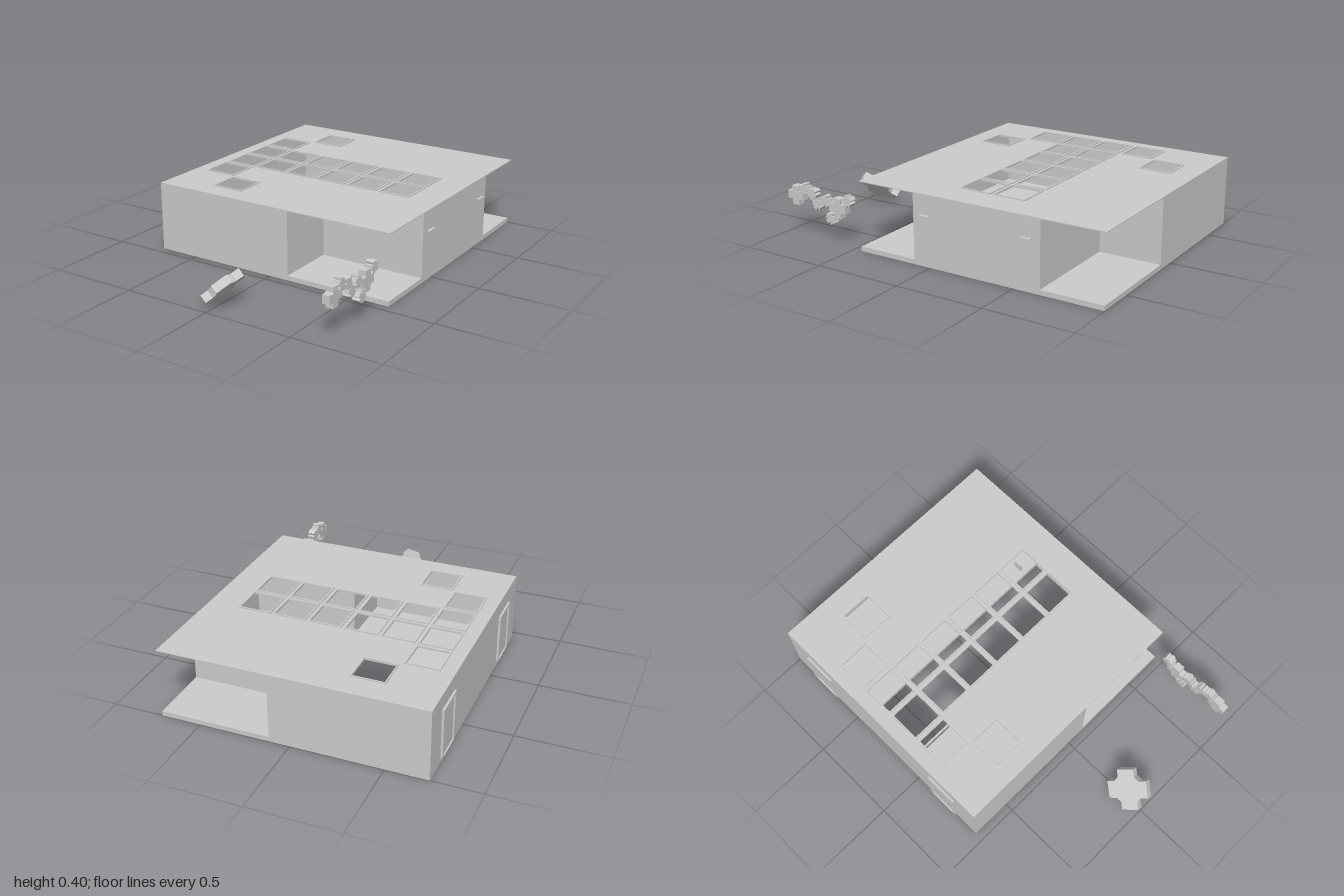
import * as THREE from 'three';

const material = new THREE.MeshStandardMaterial({ color: 0xcccccc, flatShading: true, side: THREE.DoubleSide });

export function createModel() {
  const model = new THREE.Group();

  const add = (name, geometry, x = 0, y = 0, z = 0) => {
    const mesh = new THREE.Mesh(geometry, material);
    mesh.name = name;
    mesh.position.set(x, y, z);
    model.add(mesh);
    return mesh;
  };
  // Box given by its minimum and maximum corners
  const box = (name, x0, x1, y0, y1, z0, z1) =>
    add(name, new THREE.BoxGeometry(x1 - x0, y1 - y0, z1 - z0), (x0 + x1) / 2, (y0 + y1) / 2, (z0 + z1) / 2);
  const rect = (Type, x0, x1, y0, y1) =>
    new Type([[x0, y0], [x1, y0], [x1, y1], [x0, y1]].map(p => new THREE.Vector2(...p)));
  const extrude = (shape, depth) => new THREE.ExtrudeGeometry(shape, { depth, bevelEnabled: false });
  // Horizontal plate with holes; shape y becomes z, top face at y = top
  const plate = (name, shape, top, depth) => add(name, extrude(shape, depth).rotateX(Math.PI / 2), 0, top, 0);

  const X0 = -0.73, X1 = 0.72, Z0 = -1, Z1 = 0.45, TOP = 0.39, T = 0.008;
  const RX = 0.113, RZ0 = -0.65, RZ1 = 0.1, MID = -0.275;

  // Floor with long central opening
  const floor = rect(THREE.Shape, X0, X1, Z0, Z1);
  floor.holes.push(rect(THREE.Path, -0.68, 0.66, -0.45, -0.105));
  plate('floor', floor, 0.027, 0.027);

  // Skylight centres: two full rows plus four single ones
  const skylights = [];
  for (let i = 0; i < 6; i++) {
    for (const z of [-0.36, -0.158]) skylights.push([-0.56 + i * 0.202, z]);
  }
  skylights.push([-0.358, -0.77], [-0.56, -0.565], [-0.56, 0.045], [-0.358, 0.245]);

  // Roof with raised rims around the skylights
  const H = 0.085, R = 0.093;
  const roof = rect(THREE.Shape, X0, X1, Z0, Z1);
  for (const [x, z] of skylights) {
    roof.holes.push(rect(THREE.Path, x - H, x + H, z - H, z + H));
    const rim = rect(THREE.Shape, x - R, x + R, z - R, z + R);
    rim.holes.push(rect(THREE.Path, x - H, x + H, z - H, z + H));
    plate('skylightRim', rim, 0.396, 0.006);
  }
  plate('roof', roof, TOP, 0.005);

  // Outer walls, leaving a porch at both left corners
  const Y0 = 0.02, Y1 = TOP - 0.003;
  box('rightWall', X0, X0 + T, Y0, Y1, Z0, Z1);
  box('leftWall', X1 - T, X1, 0, Y1, RZ0, RZ1);
  box('frontWall', X0, RX, Y0, Y1, Z1 - T, Z1);
  box('backWall', X0, RX, Y0, Y1, Z0, Z0 + T);
  box('frontPorchSideWall', RX - T, RX, Y0, Y1, RZ1, Z1);
  box('backPorchSideWall', RX - T, RX, Y0, Y1, Z0, RZ0);
  box('frontPorchWall', RX - T, X1, Y0, Y1, RZ1 - T, RZ1);
  box('backPorchWall', RX - T, X1, Y0, Y1, RZ0, RZ0 + T);

  // Sloped panel along the floor opening
  const slope = new THREE.Shape([[0.07, 0.08], [0.062, 0.08], [0.097, 0], [0.105, 0]]
    .map(([z, y]) => new THREE.Vector2(z, y)));
  add('slopedPanel', extrude(slope, 1.34).rotateY(Math.PI / 2), -0.68);

  // Small bracket under the last skylight
  box('bracket', 0.485, 0.497, 0.24, 0.3, -0.46, -0.412);

  // Doors on one long side and handles on the other, mirrored about the middle
  for (const s of [-1, 1]) {
    const c = MID + s * 0.48;
    const frame = rect(THREE.Shape, -0.095, 0.095, 0.027, 0.305);
    frame.holes.push(rect(THREE.Path, -0.078, 0.078, 0.027, 0.288));
    add('doorFrame', extrude(frame, 0.022).rotateY(Math.PI / 2), X0 - 0.012, 0, c);
    box('door', X0 - 0.004, X0 + T + 0.004, 0.027, 0.288, c - 0.078, c + 0.078);
    const h = MID + s * 0.3;
    box('handle', X1, X1 + 0.016, 0.273, 0.28, h - 0.03, h + 0.03);
  }

  // Cog: straight lobes around a centre with cut valleys between them
  const cog = (lobes, radius, halfWidth, valley, depth, turn) => {
    const points = [];
    const step = (Math.PI * 2) / lobes;
    const root = halfWidth / Math.tan(step / 2) + valley;
    for (let i = 0; i < lobes; i++) {
      const a = turn + i * step;
      for (const [r, w] of [[root, -1], [radius, -1], [radius, 1], [root, 1]]) {
        const t = w * halfWidth;
        points.push(new THREE.Vector2(r * Math.cos(a) - t * Math.sin(a), r * Math.sin(a) + t * Math.cos(a)));
      }
    }
    return extrude(new THREE.Shape(points), depth).translate(0, 0, -depth / 2);
  };

  // Large tilted cog in front
  const big = add('largeCog', cog(4, 0.115, 0.048, 0.024, 0.046, Math.PI / 4), 0.021, 0.102, 0.884);
  big.rotation.set(0, Math.PI / 2, -Math.PI / 4, 'ZYX');

  // Upright chain of small cogs: z, y, radius, lobes, turn
  const chain = [
    [0.918, 0.225, 0.054, 4, 0], [0.858, 0.267, 0.032, 5, 0.3], [0.802, 0.25, 0.032, 5, 0.9],
    [0.768, 0.2, 0.032, 5, 0.5], [0.71, 0.225, 0.031, 5, 0.2], [0.625, 0.2, 0.056, 4, 0],
    [0.56, 0.25, 0.032, 5, 0.6], [0.675, 0.135, 0.032, 5, 0.1],
  ];
  for (const [z, y, r, lobes, turn] of chain) {
    const geometry = cog(lobes, r, r * (lobes === 4 ? 0.42 : 0.36), r * 0.1, 0.042, turn);
    add('smallCog', geometry, 0.681, y, z).rotation.y = Math.PI / 2;
  }

  return model;
}
